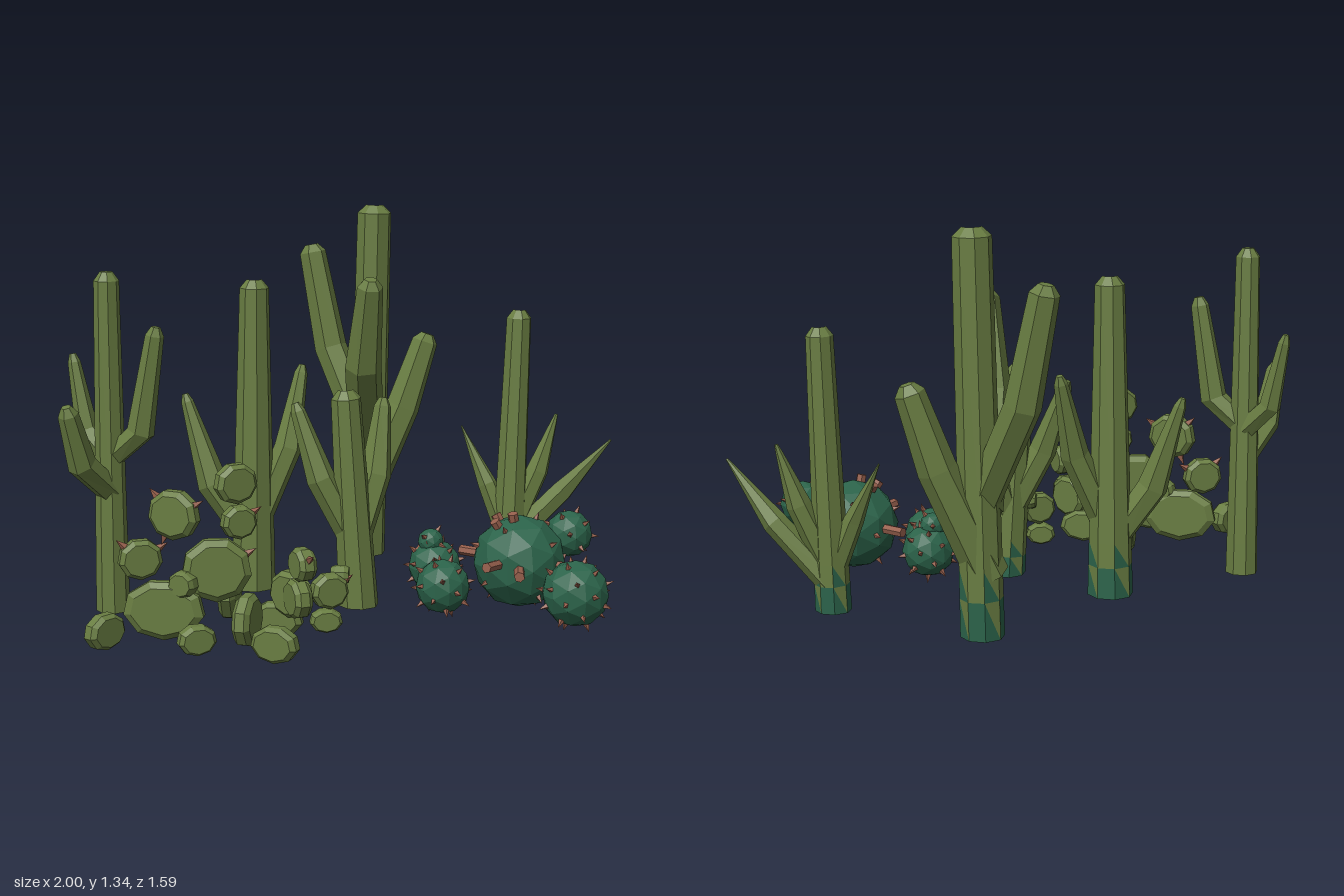
import * as THREE from 'three';

const mat = (name, color) => {
  const m = new THREE.MeshStandardMaterial({ color, flatShading: true });
  m.name = name;
  return m;
};
const V = (x, y, z) => new THREE.Vector3(x, y, z);
const UP = V(0, 1, 0);

export function createModel() {
  const green = mat('cactusGreen', 0x697d42);
  const teal = mat('deepTeal', 0x2b634a);
  const brown = mat('thornBrown', 0x965f4c);
  const root = new THREE.Group();
  root.name = 'cactusGarden';

  const group = name => {
    const g = new THREE.Group();
    g.name = name;
    root.add(g);
    return g;
  };
  const add = (parent, name, geo, material) => {
    const m = new THREE.Mesh(geo, material);
    m.name = name;
    parent.add(m);
    return m;
  };

  // Faceted stem through points (x, y, z, w = radius) with a sloping tip;
  // a trunk with patch is open on top and has some teal triangles near the foot
  function stem(points, sides, patch) {
    const c = points.map(p => V(p.x, p.y, p.z));
    const r = points.map(p => p.w);
    const last = c.length - 1;
    const dirs = c.map((p, i) => c[Math.min(i + 1, last)].clone().sub(c[Math.max(i - 1, 0)]).normalize());
    c.push(c[last].clone().addScaledVector(dirs[last], 0.03));
    r.push(r[last] * 0.5);
    dirs.push(dirs[last]);
    const rings = c.map((p, i) => {
      const q = new THREE.Quaternion().setFromUnitVectors(UP, i === 0 && sides === 8 ? UP : dirs[i]);
      return Array.from({ length: sides }, (_, k) => {
        const a = (k / sides) * Math.PI * 2;
        return V(Math.cos(a) * r[i], 0, Math.sin(a) * r[i]).applyQuaternion(q).add(p);
      });
    });
    const top = rings.length - 1;
    const main = [], spots = [];
    for (let k = 0; k < sides; k++) {
      const n = (k + 1) % sides;
      for (let i = 0; i < top; i++) {
        const p0 = rings[i][k], p1 = rings[i][n], q0 = rings[i + 1][k], q1 = rings[i + 1][n];
        const painted = patch && i < 2 && k >= sides / 2;
        const odd = (k + i) % 2 === 0;
        (painted && i === 0 && odd ? spots : main).push(p0, q0, q1);
        (painted && (i === 0 || odd) ? spots : main).push(p0, q1, p1);
      }
      main.push(c[0], rings[0][k], rings[0][n]);
      if (!patch) main.push(c[top], rings[top][n], rings[top][k]);
    }
    const geo = new THREE.BufferGeometry().setFromPoints(main.concat(spots));
    geo.addGroup(0, main.length, 0);
    geo.addGroup(main.length, spots.length, 1);
    geo.computeVertexNormals();
    return geo;
  }

  // Column cactus: trunk from foot to head, each arm through three points
  const P = (x, y, z, r) => new THREE.Vector4(x, y, z, r);
  function columnCactus(name, foot, head, arms, patch = true) {
    const g = group(name);
    const rings = [0, 0.1, 0.18, 1].map(t => foot.clone().lerp(head, t));
    add(g, 'trunk', stem(rings, 8, patch), [green, teal]);
    arms.forEach((a, i) => add(g, 'arm' + (i + 1), stem(a, 6, false), [green, teal]));
  }

  columnCactus('farRightColumn', P(-0.82, 0, 0, 0.058), P(-0.82, 1.14, 0.01, 0.043), [
    [P(-0.82, 0.42, 0.01, 0.045), P(-0.92, 0.53, 0.08, 0.05), P(-0.965, 0.71, 0.125, 0.035)],
    [P(-0.82, 0.53, -0.01, 0.04), P(-0.89, 0.62, -0.07, 0.04), P(-0.925, 0.85, -0.105, 0.022)],
    [P(-0.81, 0.54, 0.01, 0.04), P(-0.72, 0.63, 0.06, 0.048), P(-0.67, 0.96, 0.085, 0.032)],
  ], false);

  columnCactus('middleRightColumn', P(-0.3, 0, -0.19, 0.08), P(-0.29, 1.08, -0.18, 0.052), [
    [P(-0.32, 0.2, -0.18, 0.05), P(-0.44, 0.38, -0.21, 0.055), P(-0.52, 0.67, -0.26, 0.022)],
    [P(-0.28, 0.26, -0.18, 0.05), P(-0.17, 0.5, -0.2, 0.05), P(-0.11, 0.76, -0.26, 0.024)],
  ]);

  columnCactus('tallBackColumn', P(0.2, 0, -0.58, 0.073), P(0.23, 1.3, -0.58, 0.064), [
    [P(0.2, 0.45, -0.58, 0.06), P(0.09, 0.78, -0.71, 0.062), P(0.03, 1.14, -0.755, 0.05)],
    [P(0.18, 0.2, -0.58, 0.07), P(0.345, 0.56, -0.59, 0.065), P(0.43, 0.81, -0.59, 0.05)],
    [P(0.2, 0.42, -0.57, 0.07), P(0.14, 0.76, -0.36, 0.068), P(0.145, 1.06, -0.27, 0.048)],
  ]);

  columnCactus('shortFrontColumn', P(0.02, 0, 0.115, 0.07), P(-0.025, 0.73, 0.115, 0.052), [
    [P(0, 0.24, 0.11, 0.05), P(-0.11, 0.45, 0.1, 0.05), P(-0.18, 0.68, 0.055, 0.026)],
    [P(0.01, 0.22, 0.11, 0.05), P(0.09, 0.45, 0.07, 0.055), P(0.125, 0.68, 0.02, 0.03)],
  ]);

  columnCactus('spikyLeftColumn', P(0.66, 0, -0.23, 0.062), P(0.69, 0.94, -0.23, 0.046), [
    [P(0.66, 0.12, -0.23, 0.04), P(0.59, 0.32, -0.27, 0.035), P(0.52, 0.5, -0.335, 0.006)],
    [P(0.67, 0.1, -0.24, 0.045), P(0.85, 0.3, -0.18, 0.042), P(0.985, 0.48, -0.1, 0.008)],
    [P(0.67, 0.15, -0.23, 0.045), P(0.77, 0.37, -0.23, 0.042), P(0.83, 0.55, -0.23, 0.012)],
  ]);

  // Thorns
  const thornGeo = new THREE.ConeGeometry(0.36, 1, 4).translate(0, 0.3, 0);
  function thorn(parent, pos, dir, size) {
    const t = add(parent, 'thorn', thornGeo, brown);
    t.position.copy(pos);
    t.quaternion.setFromUnitVectors(UP, dir);
    t.scale.setScalar(size);
  }

  // Pad cactus: flat bevelled discs at x, y, z with a half width and a yaw
  const pads = group('padCactus');
  const profile = [[0, -1], [0.8, -1], [1, -0.5], [1, 0.5], [0.8, 1], [0, 1]].map(([x, y]) => new THREE.Vector2(x, y));
  const padGeo = new THREE.LatheGeometry(profile, 9).rotateX(Math.PI / 2);
  function pad(x, y, z, w, yaw, thorns = 0) {
    const h = Math.min(w * 0.93, y - 0.01);
    const p = add(pads, 'pad', padGeo, green);
    p.position.set(x, y, z);
    p.rotation.y = yaw;
    p.scale.set(w, h, 0.03);
    for (let i = 0; i < thorns; i++) {
      const a = 0.5 + i * 1.9;
      const dir = V(Math.cos(a), Math.sin(a), 0).applyAxisAngle(UP, yaw);
      const rim = V(Math.cos(a) * w, Math.sin(a) * h, 0).applyAxisAngle(UP, yaw);
      thorn(pads, rim.add(p.position), dir, 0.042);
    }
  }
  // main stack
  pad(-0.69, 0.11, 0.41, 0.135, -0.34);
  pad(-0.52, 0.24, 0.43, 0.115, -0.1, 1);
  pad(-0.76, 0.27, 0.36, 0.073, 0.1, 2);
  pad(-0.65, 0.42, 0.39, 0.09, -0.64, 3);
  pad(-0.46, 0.53, 0.46, 0.072, 0.29);
  pad(-0.45, 0.4, 0.45, 0.06, 0.24, 1);
  pad(-0.63, 0.2, 0.44, 0.048, -0.64);
  // pads on the ground
  pad(-0.89, 0.07, 0.48, 0.075, 0.64);
  pad(-0.61, 0.06, 0.6, 0.063, 0.15);
  pad(-0.38, 0.07, 0.73, 0.08, -0.61);
  pad(-0.44, 0.1, 0.55, 0.093, -2.03);
  pad(-0.45, 0.13, 0.25, 0.12, 1.28, 1);
  pad(-0.33, 0.07, 0.46, 0.09, -0.38);
  // side shoots
  pad(-0.29, 0.17, 0.52, 0.085, -0.96);
  pad(-0.27, 0.29, 0.61, 0.06, -1.33, 1);
  pad(-0.28, 0.17, 0.58, 0.07, -1.37);
  pad(-0.15, 0.15, 0.44, 0.065, 0.2, 1);
  pad(-0.16, 0.05, 0.44, 0.055, -0.1);
  pad(-0.105, 0.19, 0.4, 0.035, 1.28);

  // Barrel cactus: faceted balls with thorns spread by the golden angle
  const barrel = group('barrelCactus');
  function ball(x, y, z, r, thorns) {
    const c = V(x, y, z);
    add(barrel, 'ball', new THREE.IcosahedronGeometry(r, 1), teal).position.copy(c);
    for (let i = 0; i < thorns; i++) {
      const v = 1 - (2 * i + 1) / thorns;
      const s = Math.sqrt(1 - v * v), a = i * 2.4;
      const d = V(Math.cos(a) * s, v, Math.sin(a) * s);
      thorn(barrel, c.clone().addScaledVector(d, r * 0.97), d, 0.032);
    }
  }
  ball(0.555, 0.165, 0.26, 0.162, 14);
  ball(0.735, 0.25, 0.25, 0.082, 16);
  ball(0.665, 0.12, 0.54, 0.113, 26);
  ball(0.27, 0.105, 0.31, 0.094, 22);
  ball(0.305, 0.11, 0.065, 0.094, 24);
  ball(0.29, 0.2, 0.065, 0.046, 6);

  // Woody stubs around the large ball, and buds on its top
  const stubGeo = new THREE.CylinderGeometry(0.018, 0.018, 0.1, 6);
  function stub(name, dir, distance) {
    const s = add(barrel, name, stubGeo, brown);
    s.position.set(0.555, 0.17, 0.26).addScaledVector(dir.normalize(), distance);
    s.quaternion.setFromUnitVectors(UP, dir);
  }
  [V(-0.72, 0, -0.75), V(-0.75, 0.1, 0.75), V(-0.3, 0, 1), V(0.65, 0, 0.7), V(0.25, 0.1, -1)]
    .forEach(d => stub('stub', d, 0.185));
  [V(-0.4, 0.85, -0.3), V(-0.2, 1, 0.15), V(-0.5, 0.75, 0.1)].forEach(d => stub('bud', d, 0.125));

  return root;
}
